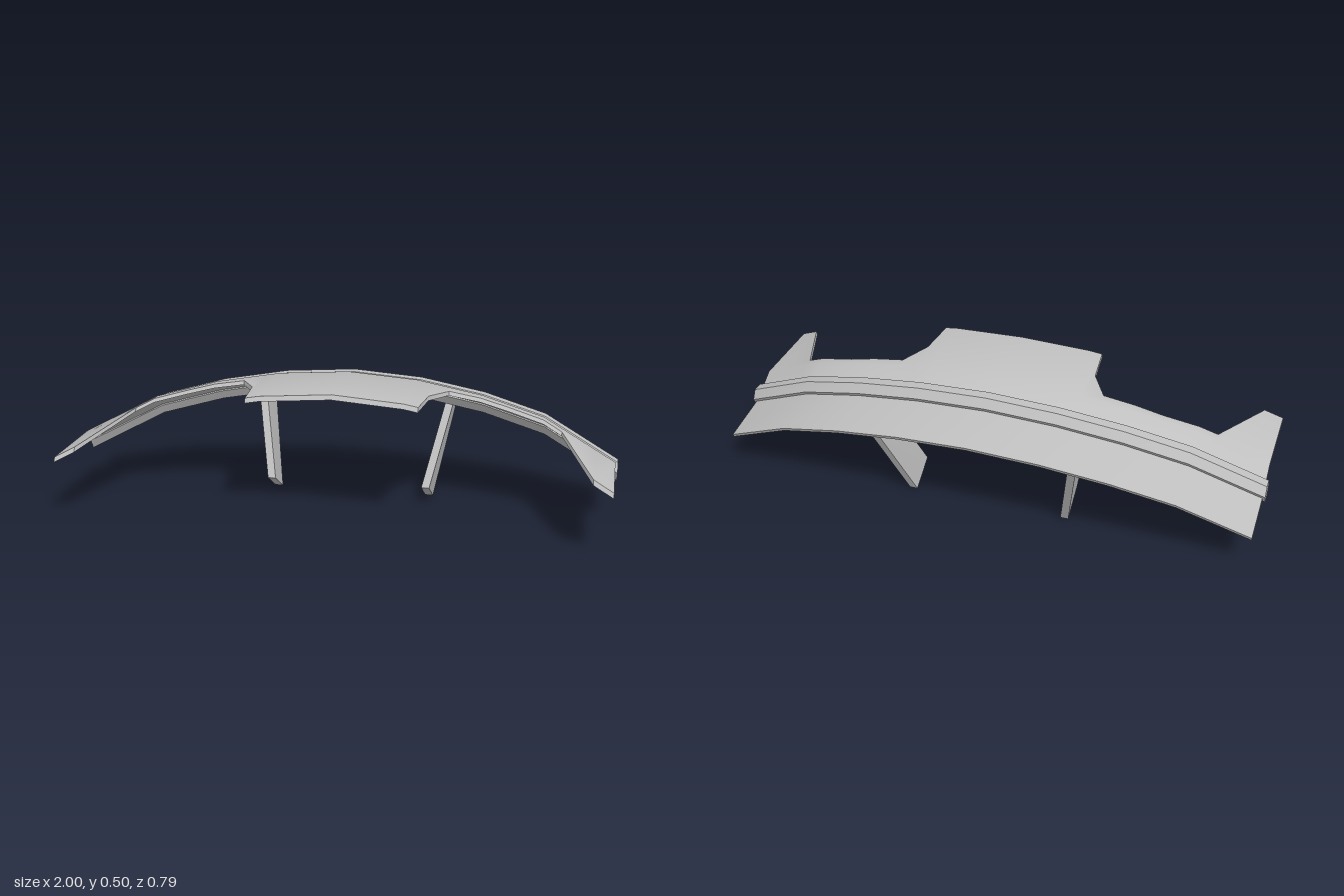
import * as THREE from 'three';
import { toCreasedNormals } from 'three/addons/utils/BufferGeometryUtils.js';

// Piecewise-linear lookup in a table of [x, value] pairs
function lookup(table, x) {
  for (let i = 1; i < table.length; i++) {
    const [x0, v0] = table[i - 1], [x1, v1] = table[i];
    if (x <= x1) return v0 + (v1 - v0) * (x - x0) / (x1 - x0);
  }
  return table[table.length - 1][1];
}

// How far the wing has swept down and forward at each distance from the middle
const SWEEP = [[0, 0], [0.26, 0.065], [0.5, 0.22], [0.73, 0.46], [1, 1]];
// Front edge of the front plate: centre tab, notch and end prong
const FRONT_EDGE = [[0, 0.246], [0.26, 0.258], [0.31, 0.262], [0.325, 0.107], [0.385, 0],
  [0.5, 0.003], [0.6, 0.01], [0.73, 0.032], [0.797, 0.053], [0.92, 0.365], [0.99, 0.387]];

// Left-to-right stations mirrored from a list of positive ones
const mirrored = (xs) => [...xs.slice(1).reverse().map((x) => -x), ...xs];

// Solid through rings of [x, y, z], each counter-clockwise in (z, y), ordered by rising x
function loft(rings) {
  const n = rings[0].length, index = [];
  for (let s = 0; s < rings.length - 1; s++) {
    for (let i = 0; i < n; i++) {
      const j = (i + 1) % n, a = s * n, b = a + n;
      index.push(a + i, b + i, b + j, a + i, b + j, a + j);
    }
  }
  const cap = (ring) => THREE.ShapeUtils.triangulateShape(ring.map((p) => new THREE.Vector2(p[2], p[1])), []);
  const last = (rings.length - 1) * n;
  for (const [a, b, c] of cap(rings[0])) index.push(a, b, c);
  for (const [a, b, c] of cap(rings[rings.length - 1])) index.push(last + a, last + c, last + b);
  const geometry = new THREE.BufferGeometry();
  geometry.setAttribute('position', new THREE.Float32BufferAttribute(rings.flat(2), 3));
  geometry.setIndex(index);
  return toCreasedNormals(geometry, 0.62);
}

// Ring at station x from a wing-tip profile of [z, y], moved along the sweep
function sweptRing(x, profile) {
  const k = 1 - lookup(SWEEP, Math.abs(x));
  return profile.map(([z, y]) => [x, y + 0.253 * k, z - 0.138 * k]);
}

export function createModel() {
  const group = new THREE.Group();
  const grey = new THREE.MeshStandardMaterial({ color: 0xc0c0c0 });
  grey.name = 'grey';
  const add = (name, geometry) => {
    const mesh = new THREE.Mesh(geometry, grey);
    mesh.name = name;
    group.add(mesh);
  };

  // Hexagonal bar along the whole span
  const hexagon = [[0.02, 0.195], [0, 0.229], [-0.04, 0.229], [-0.06, 0.195], [-0.04, 0.161], [0, 0.161]];
  add('crossBar', loft(mirrored([0, 0.26, 0.5, 0.73, 1]).map((x) => sweptRing(x, hexagon))));

  // Rear plate behind the bar
  const rear = [[-0.025, 0.168], [-0.025, 0.184], [-0.256, 0.157], [-0.249, 0.143]];
  add('rearPlate', loft(mirrored([0, 0.26, 0.5, 0.73, 0.99]).map((x) => sweptRing(x, rear))));

  // Bent front plate, cut to the tab and prong outline
  add('frontPlate', loft(mirrored(FRONT_EDGE.map((p) => p[0])).map((x) => {
    const reach = lookup(FRONT_EDGE, Math.abs(x)) + 0.138 * (1 - lookup(SWEEP, Math.abs(x)));
    const fall = reach - 0.07;
    return sweptRing(x, [
      [reach + 0.009, 0.233 - 0.032 * fall], [reach, 0.246 - 0.019 * fall],
      [0.07, 0.246], [0, 0.206], [0, 0.189], [0.074, 0.233],
    ]);
  })));

  // Two raked legs under the rear plate
  const leg = [[0.297, 0.069, -0.044], [0.368, 0.386, -0.206], [0.368, 0.372, -0.347], [0.297, 0.002, -0.158]];
  for (const side of [1, -1]) {
    const rings = [-0.015, 0.015].map((d) => leg.map(([x, y, z]) => [side * x + d, y, z]));
    add(side > 0 ? 'leftLeg' : 'rightLeg', loft(rings));
  }
  return group;
}
